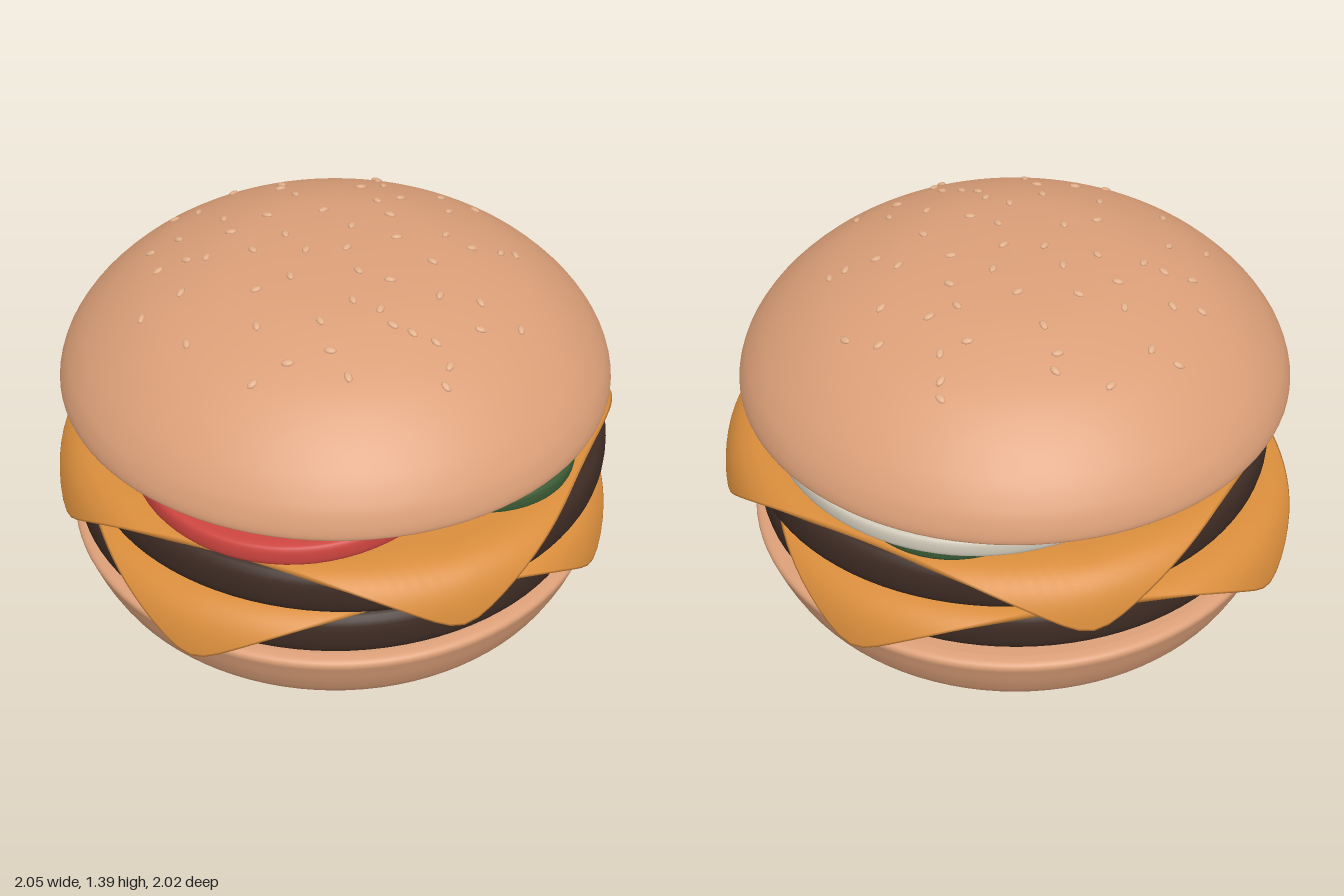
import * as THREE from 'three';
import { mergeVertices } from 'three/addons/utils/BufferGeometryUtils.js';

const mat = (color) => new THREE.MeshStandardMaterial({ color });
const bunMat = mat(0xdb9f78), pattyMat = mat(0x3d2b23), cheeseMat = mat(0xd98d3c);
const pickleMat = mat(0x3a5a35), tomatoMat = mat(0xcc443f), onionMat = mat(0xcfc8b8);
const seedMat = mat(0xe0ad88);
const v2 = (p) => new THREE.Vector2(p[0], p[1]);

// Move every vertex by a rule, weld the seam and smooth the normals
function reshape(geo, rule) {
  const pos = geo.attributes.position, p = new THREE.Vector3();
  for (let i = 0; i < pos.count; i++) {
    rule(p.fromBufferAttribute(pos, i));
    pos.setXYZ(i, p.x, p.y, p.z);
  }
  geo.deleteAttribute('uv');
  geo.deleteAttribute('normal');
  const welded = mergeVertices(geo, 1e-5);
  welded.computeVertexNormals();
  return welded;
}

// Round slab centred on y = 0, with a rounded rim and rings that allow bending
function slab(radius, height, rim, seg = 72) {
  const h = height / 2, rings = 10, pts = [];
  for (let i = 0; i < rings; i++) pts.push([(radius - rim) * i / rings, -h]);
  for (let i = 0; i <= 12; i++) {
    const a = -Math.PI / 2 + Math.PI * i / 12;
    const c = Math.sqrt(Math.cos(a) < 1e-9 ? 0 : Math.cos(a)), s = Math.sin(a);
    pts.push([radius - rim + rim * c, h * Math.sign(s) * Math.pow(Math.abs(s), 0.8)]);
  }
  for (let i = rings - 1; i >= 0; i--) pts.push([(radius - rim) * i / rings, h]);
  return new THREE.LatheGeometry(pts.map(v2), seg);
}

// Square cheese slice whose corners fold down over the patty
function cheeseGeometry() {
  const half = 0.91, fold = 0.88, thick = 0.024, power = 14;
  const drape = (s) => {
    const t = Math.max(0, s - fold);
    return [Math.min(s, fold) + 0.18 * (1 - Math.exp(-t / 0.12)),
      -0.75 * (Math.hypot(t, 0.08) - 0.08)];
  };
  const us = [0, 0.3, 0.55];
  for (let i = 0; i <= 20; i++) us.push(0.68 + 0.31 * i / 20);
  us.push(1);
  const pts = [...us.map((u) => [u, -1]), ...us.slice().reverse().map((u) => [u, 1])];
  return reshape(new THREE.LatheGeometry(pts.map(v2), 128), (p) => {
    const u = Math.hypot(p.x, p.z), a = Math.atan2(p.z, p.x);
    const c = Math.cos(a), d = Math.sin(a);
    const reach = half * Math.pow(Math.abs(c) ** power + Math.abs(d) ** power, -1 / power);
    const s = u * reach;
    let [r, y] = drape(s);
    if (p.y < 0) {
      const [r2, y2] = drape(s + 0.002), len = Math.hypot(r2 - r, y2 - y);
      const nr = (y - y2) / len, ny = (r2 - r) / len;
      if (u > 0) r -= nr * thick;
      y -= ny * thick;
    }
    p.set(c * r, y, d * r);
  });
}

export function createModel() {
  const group = new THREE.Group();
  group.name = 'burger';
  const add = (name, geo, material, x, y, z, parent = group) => {
    const m = new THREE.Mesh(geo, material);
    m.name = name;
    m.position.set(x, y, z);
    parent.add(m);
    return m;
  };

  // Bottom bun
  const heel = new THREE.SplineCurve([[0.5, 0], [0.68, 0.015], [0.81, 0.06], [0.89, 0.13],
    [0.935, 0.21], [0.965, 0.29], [0.975, 0.325], [0.962, 0.343], [0.93, 0.35]].map(v2));
  add('bottomBun', new THREE.LatheGeometry(
    [v2([0, 0]), v2([0.3, 0]), ...heel.getPoints(40), v2([0.85, 0.35]), v2([0, 0.35])], 96),
  bunMat, 0.005, 0, 0);

  // Patties
  const pattyGeo = reshape(slab(0.955, 0.175, 0.085, 96), () => {});
  add('lowerPatty', pattyGeo, pattyMat, 0.005, 0.453, 0.015);
  add('upperPatty', pattyGeo, pattyMat, 0.038, 0.635, 0.015);

  // Cheese slices
  const cheeseGeo = cheeseGeometry();
  add('lowerCheese', cheeseGeo, cheeseMat, -0.015, 0.556, 0).rotation.y = 0.4;
  add('upperCheese', cheeseGeo, cheeseMat, 0.03, 0.738, 0.01).rotation.y = -0.32;

  // Pickle slices
  const pickleGeo = reshape(slab(0.335, 0.062, 0.025, 48), () => {});
  [[0.53, 0.29], [-0.51, 0.01], [0.1, -0.575]].forEach(([x, z], i) =>
    add('pickle' + (i + 1), pickleGeo, pickleMat, x, 0.761, z));

  // Tomato slice, sagging towards the front
  add('tomato', reshape(slab(0.59, 0.078, 0.03), (p) => {
    p.y += 0.04 * p.x - (p.z > 0 ? 0.13 * p.z * p.z : 0);
  }), tomatoMat, -0.09, 0.812, 0.34);

  // Onion slice with faint rings, sagging towards the back
  add('onion', reshape(slab(0.765, 0.065, 0.025, 96), (p) => {
    const r = Math.hypot(p.x, p.z);
    if (p.y > 0.03 && r < 0.72) p.y -= 0.004 * (Math.round(r / 0.074) % 2);
    p.y -= (p.z < 0 ? 0.11 * p.z * p.z : 0) + (p.x > 0 ? 0.05 * p.x * p.x : 0);
  }), onionMat, 0.085, 0.855, -0.15);

  // Top bun
  const crown = new THREE.SplineCurve([[0.93, 0.885], [0.968, 0.888], [0.98, 0.905],
    [0.972, 0.95], [0.945, 1.01], [0.885, 1.09], [0.78, 1.185], [0.64, 1.268],
    [0.42, 1.343], [0.2, 1.37], [0, 1.376]].map(v2)).getPoints(70);
  const topBun = new THREE.Group();
  topBun.name = 'topBun';
  topBun.position.x = 0.007;
  group.add(topBun);
  add('crown', new THREE.LatheGeometry(
    [v2([0, 0.885]), v2([0.5, 0.885]), v2([0.85, 0.885]), ...crown], 96), bunMat, 0, 0, 0, topBun);

  // Sesame seeds scattered over the crown, lying on its slope
  let state = 11;
  const rand = () => (state = (state * 16807) % 2147483647) / 2147483647;
  const seedGeo = new THREE.SphereGeometry(1, 10, 8);
  const seeds = new THREE.Group();
  seeds.name = 'seeds';
  topBun.add(seeds);
  const up = new THREE.Vector3(0, 1, 0);
  for (let i = 0; i < 60; i++) {
    const r = 0.72 * Math.sqrt((i + 0.2 + 0.6 * rand()) / 60);
    const a = i * 2.39996 + 0.5 * rand();
    const k = crown.findIndex((p, j) => j > 10 && p.x <= r);
    const p = crown[k - 1], q = crown[k], f = (p.x - r) / (p.x - q.x);
    const y = p.y + (q.y - p.y) * f;
    const seed = add('seed', seedGeo, seedMat, Math.cos(a) * r, y + 0.002, Math.sin(a) * r, seeds);
    const n = new THREE.Vector3(Math.cos(a) * (q.y - p.y), p.x - q.x, Math.sin(a) * (q.y - p.y));
    seed.quaternion.setFromUnitVectors(up, n.normalize());
    seed.rotateY(rand() * Math.PI);
    seed.scale.set(0.021, 0.009, 0.013);
  }
  return group;
}
